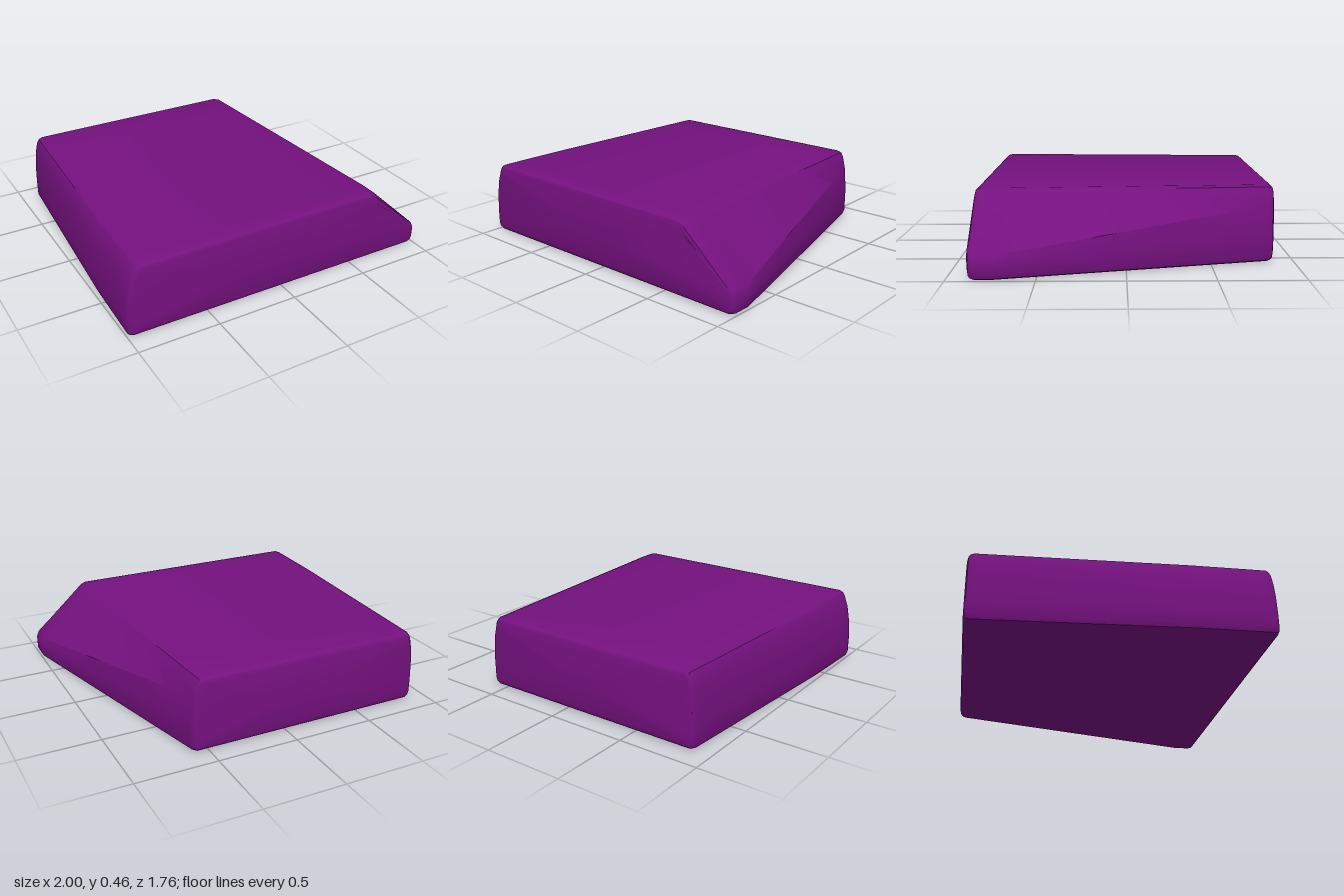
import * as THREE from 'three';
import { toCreasedNormals } from 'three/addons/utils/BufferGeometryUtils.js';

const H = 0.455;

// Profiles: counter-clockwise as seen from +z, matched point for point
const backProfile = [
  [0.57, 0], [0.59, 0.01], [0.6, 0.035], [0.6, 0.19], [0.585, 0.34], [0.565, 0.42], [0.55, 0.445], [0.52, H],
  [-0.83, H], [-0.855, 0.445], [-0.87, 0.42], [-0.885, 0.35], [-0.896, 0.25], [-0.9, 0.13],
  [-0.9, 0.035], [-0.89, 0.01], [-0.87, 0],
];
const frontProfile = [
  [0.965, 0], [0.99, 0.01], [1, 0.035], [1, 0.105], [0.985, 0.14], [0.68, 0.42], [0.655, 0.443], [0.625, H],
  [-0.905, H], [-0.93, 0.445], [-0.945, 0.425], [-0.972, 0.35], [-0.991, 0.25], [-1, 0.13],
  [-1, 0.035], [-0.99, 0.01], [-0.965, 0],
];

// Stations along z with the inset that rounds the two ends
const stations = [
  [-0.88, 0.04], [-0.872, 0.015], [-0.86, 0.005], [-0.84, 0],
  [-0.6, 0], [-0.35, 0], [-0.1, 0], [0.15, 0], [0.4, 0], [0.6, 0], [0.7, 0], [0.735, 0], [0.77, 0],
  [0.84, 0], [0.86, 0.005], [0.872, 0.015], [0.88, 0.04],
];

// Cross-section at z: the left side flares early, the right side runs straight to z = 0.735
function section(z, inset) {
  const right = THREE.MathUtils.clamp((z + 0.84) / 1.575, 0, 1);
  const left = z < 0.4
    ? 0.86 * Math.max(0, (z + 0.84) / 1.24)
    : 0.86 + 0.14 * Math.min(1, (z - 0.4) / 0.44);
  const pts = backProfile.map(([bx, by], i) => {
    const [fx, fy] = frontProfile[i];
    const t = bx > 0 ? right : left;
    return [bx + (fx - bx) * t, by + (fy - by) * t];
  });
  const xs = pts.map((p) => p[0]);
  const x0 = Math.min(...xs), x1 = Math.max(...xs);
  const cx = (x0 + x1) / 2;
  const sx = 1 - (2 * inset) / (x1 - x0), sy = 1 - (2 * inset) / H;
  return pts.map(([x, y]) => [cx + (x - cx) * sx, H / 2 + (y - H / 2) * sy, z]);
}

function wedgeGeometry() {
  const rings = stations.map(([z, inset]) => section(z, inset));
  const n = backProfile.length;
  const verts = rings.flat(2);
  const index = [];
  for (let j = 0; j < rings.length - 1; j++) {
    for (let i = 0; i < n; i++) {
      const k = (i + 1) % n;
      const a = j * n + i, b = j * n + k, c = b + n, d = a + n;
      index.push(a, b, c, a, c, d);
    }
  }
  // Flat end caps, fanned from a centre point
  for (const [ring, front] of [[0, false], [rings.length - 1, true]]) {
    const centre = verts.length / 3;
    verts.push(-0.1, 0.2, rings[ring][0][2]);
    for (let i = 0; i < n; i++) {
      const a = ring * n + i, b = ring * n + ((i + 1) % n);
      if (front) index.push(centre, a, b);
      else index.push(centre, b, a);
    }
  }
  const geo = new THREE.BufferGeometry();
  geo.setAttribute('position', new THREE.Float32BufferAttribute(verts, 3));
  geo.setIndex(index);
  return toCreasedNormals(geo, 0.5);
}

export function createModel() {
  const group = new THREE.Group();
  group.name = 'taperedBlock';
  const material = new THREE.MeshStandardMaterial({ color: 0x75117f });
  const body = new THREE.Mesh(wedgeGeometry(), material);
  body.name = 'body';
  group.add(body);
  return group;
}
